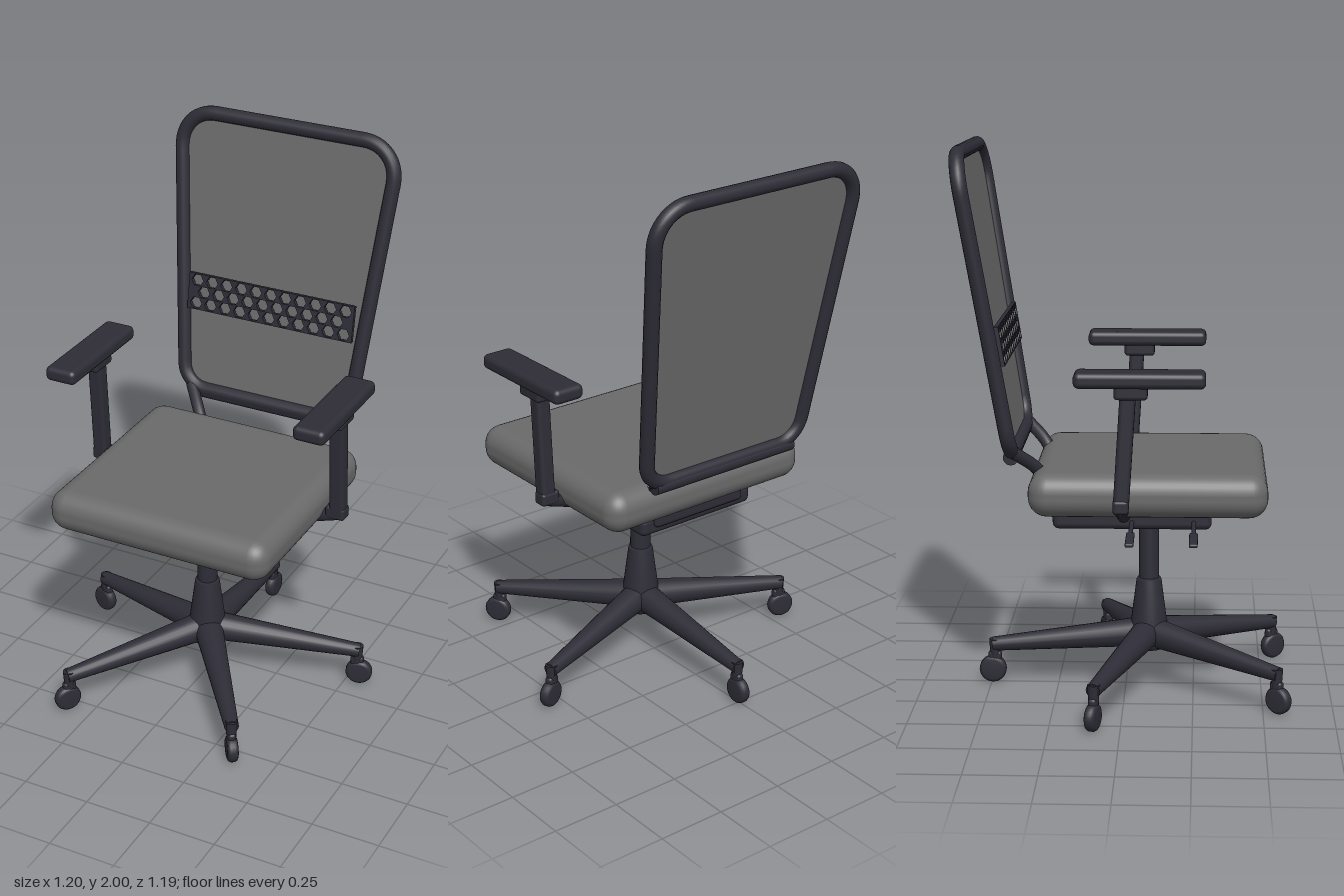
import * as THREE from 'three';
import { RoundedBoxGeometry } from 'three/addons/geometries/RoundedBoxGeometry.js';

const frameMat = new THREE.MeshStandardMaterial({ color: 0x2e2d37 });
frameMat.name = 'dark frame plastic';
const fabricMat = new THREE.MeshStandardMaterial({ color: 0x6a6a6a });
fabricMat.name = 'grey fabric';
const meshMat = new THREE.MeshStandardMaterial({ color: 0x6c6c6d, side: THREE.DoubleSide });
meshMat.name = 'grey back mesh';

const V = (x, y, z) => new THREE.Vector3(x, y, z);

function add(parent, name, geo, mat = frameMat, x = 0, y = 0, z = 0) {
  const m = new THREE.Mesh(geo, mat);
  m.name = name;
  m.position.set(x, y, z);
  parent.add(m);
  return m;
}

const rbox = (w, h, d, r) => new RoundedBoxGeometry(w, h, d, 4, r);

// Place a geometry that runs along y between two points
function between(parent, name, a, b, makeGeo) {
  const dir = b.clone().sub(a);
  const m = add(parent, name, makeGeo(dir.length()));
  m.position.copy(a).add(b).multiplyScalar(0.5);
  m.quaternion.setFromUnitVectors(V(0, 1, 0), dir.normalize());
  return m;
}
const rod = (parent, name, a, b, ra, rb = ra) =>
  between(parent, name, a, b, (l) => new THREE.CylinderGeometry(rb, ra, l, 20));

// Trapezoid outline with rounded corners
function backOutline(wBottom, wTop, h) {
  const corners = [[-wBottom, 0, 0.09], [wBottom, 0, 0.09], [wTop, h, 0.14], [-wTop, h, 0.14]];
  const s = new THREE.Shape();
  corners.forEach(([x, y, r], i) => {
    const c = new THREE.Vector2(x, y);
    const toward = (j) => {
      const n = new THREE.Vector2(corners[j % 4][0], corners[j % 4][1]);
      return c.clone().add(n.sub(c).setLength(r));
    };
    const p = toward(i + 3), q = toward(i + 1);
    if (i === 0) s.moveTo(p.x, p.y);
    else s.lineTo(p.x, p.y);
    // cubic handles approximate a circular corner
    const k = 0.56;
    const h1 = p.clone().lerp(c, k), h2 = q.clone().lerp(c, k);
    s.bezierCurveTo(h1.x, h1.y, h2.x, h2.y, q.x, q.y);
  });
  s.closePath();
  return s;
}

function makeBase() {
  const base = new THREE.Group();
  base.name = 'base';
  base.position.z = 0.085;
  add(base, 'gasColumn', new THREE.CylinderGeometry(0.037, 0.037, 0.3, 28), frameMat, 0, 0.52, 0);
  const hub = [[0, 0.14], [0.055, 0.14], [0.068, 0.16], [0.068, 0.23], [0.046, 0.4], [0.042, 0.408], [0, 0.408]];
  add(base, 'hub', new THREE.LatheGeometry(hub.map(([r, y]) => new THREE.Vector2(r, y)), 28));

  // Wheel profile: a disc with rounded rims
  const wheel = [[0, -0.02], [0.036, -0.02], [0.045, -0.016], [0.05, -0.008],
    [0.05, 0.008], [0.045, 0.016], [0.036, 0.02], [0, 0.02]];
  const wheelGeo = new THREE.LatheGeometry(wheel.map(([r, y]) => new THREE.Vector2(r, y)), 28);
  wheelGeo.rotateZ(Math.PI / 2);

  for (let i = 0; i < 5; i++) {
    const leg = new THREE.Group();
    leg.name = 'leg' + (i + 1);
    leg.rotation.y = (i * Math.PI * 2) / 5;
    rod(leg, 'legArm', V(0, 0.202, 0), V(0, 0.145, -0.58), 0.056, 0.026);
    rod(leg, 'casterStem', V(0, 0.07, -0.572), V(0, 0.165, -0.572), 0.016, 0.022);
    add(leg, 'casterHood', rbox(0.03, 0.04, 0.05, 0.012), frameMat, 0, 0.1, -0.572);
    add(leg, 'casterWheel', wheelGeo, frameMat, 0, 0.051, -0.58);
    base.add(leg);
  }
  return base;
}

function makeArm(side) {
  const arm = new THREE.Group();
  arm.name = side > 0 ? 'leftArmrest' : 'rightArmrest';
  add(arm, 'armPad', rbox(0.122, 0.055, 0.45, 0.02), frameMat, side * 0.489, 1.228, 0.065);
  add(arm, 'padMount', rbox(0.08, 0.05, 0.115, 0.012), frameMat, side * 0.489, 1.185, 0.035);
  between(arm, 'armPost', V(side * 0.488, 0.77, 0), V(side * 0.488, 1.18, 0.025),
    (l) => rbox(0.056, l, 0.055, 0.014));
  add(arm, 'armElbow', rbox(0.075, 0.05, 0.055, 0.012), frameMat, side * 0.482, 0.785, 0);
  rod(arm, 'armBracket', V(side * 0.2, 0.68, 0), V(side * 0.5, 0.782, 0), 0.024, 0.026);
  return arm;
}

function makeBack() {
  const back = new THREE.Group();
  back.name = 'backrest';
  back.position.set(0, 0.925, -0.39);
  back.rotation.x = -0.1645;

  const outline = backOutline(0.341, 0.438, 1.065);
  const pts = outline.getSpacedPoints(120).slice(0, -1).map((p) => V(p.x, p.y, 0));
  const path = new THREE.CatmullRomCurve3(pts, true);
  add(back, 'backFrame', new THREE.TubeGeometry(path, 200, 0.027, 14, true));
  add(back, 'backMesh', new THREE.ShapeGeometry(outline, 12), meshMat);

  // Lumbar band with three staggered rows of hexagonal holes
  const band = new THREE.Shape();
  band.moveTo(-0.34, -0.07);
  band.lineTo(0.34, -0.07);
  band.lineTo(0.34, 0.07);
  band.lineTo(-0.34, 0.07);
  band.closePath();
  for (let row = -1; row <= 1; row++) {
    const n = row === 0 ? 10 : 11;
    for (let i = 0; i < n; i++) {
      const cx = (i - (n - 1) / 2) * 0.061, cy = row * 0.0445;
      const hex = new THREE.Path();
      for (let k = 0; k < 6; k++) {
        const a = (-k * Math.PI) / 3;
        const x = cx + 0.0245 * Math.cos(a), y = cy + 0.0245 * Math.sin(a);
        if (k === 0) hex.moveTo(x, y);
        else hex.lineTo(x, y);
      }
      hex.closePath();
      band.holes.push(hex);
    }
  }
  add(back, 'lumbarBand', new THREE.ExtrudeGeometry(band, { depth: 0.016, bevelEnabled: false }),
    frameMat, 0, 0.388, 0.02);
  return back;
}

export function createModel() {
  const chair = new THREE.Group();
  chair.name = 'officeChair';
  chair.add(makeBase());

  // Seat and the mechanism under it
  add(chair, 'seatCushion', rbox(0.87, 0.155, 0.838, 0.068), fabricMat, 0, 0.798, 0.09);
  add(chair, 'seatPlate', rbox(0.5, 0.07, 0.565, 0.022), frameMat, 0, 0.679, 0.03);
  add(chair, 'tiltMechanism', rbox(0.4, 0.06, 0.46, 0.018), frameMat, 0, 0.703, -0.04);

  // Back, its lower bar and the two supports
  chair.add(makeBack());
  rod(chair, 'lowerBackBar', V(-0.31, 0.915, -0.393), V(0.31, 0.915, -0.393), 0.027);
  for (const side of [1, -1]) {
    const path = new THREE.CatmullRomCurve3([
      V(side * 0.31, 0.935, -0.385), V(side * 0.235, 0.86, -0.305),
      V(side * 0.18, 0.76, -0.26), V(side * 0.14, 0.7, -0.2)]);
    add(chair, 'backSupport', new THREE.TubeGeometry(path, 24, 0.023, 12));
    chair.add(makeArm(side));
  }

  // Two adjustment levers on the right side
  for (const z of [0.25, 0.03]) {
    rod(chair, 'leverRod', V(-0.2, 0.675, z), V(-0.42, 0.661, z), 0.008);
    const paddle = add(chair, 'leverPaddle', rbox(0.15, 0.014, 0.03, 0.006), frameMat, -0.458, 0.66, z);
    paddle.rotation.z = 0.04;
  }
  return chair;
}
